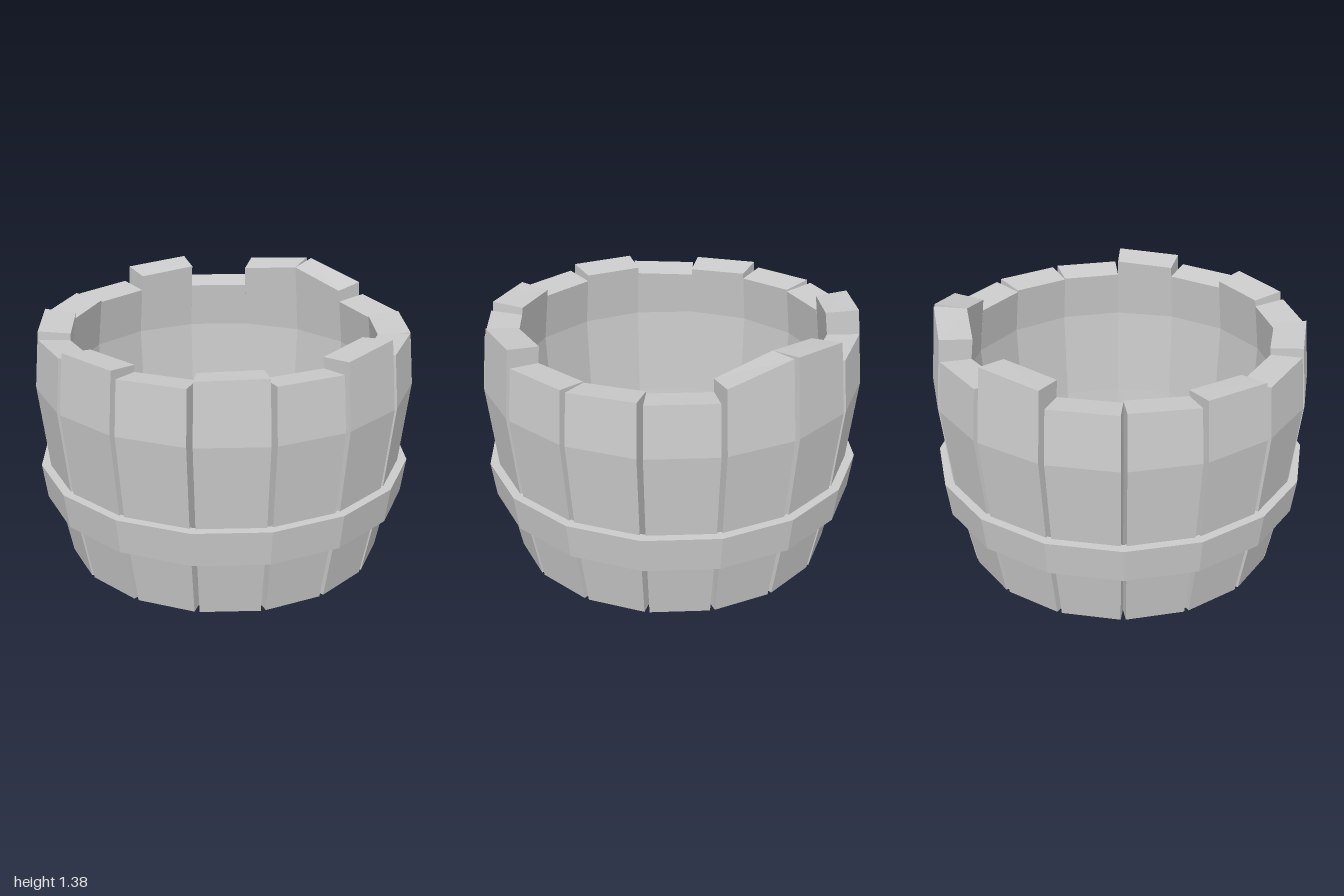
import * as THREE from 'three';

const material = new THREE.MeshStandardMaterial({ color: 0xcccccc, flatShading: true });
const SIDES = 16;
const STEP = (Math.PI * 2) / SIDES;
const GAP = 0.015; // angle trimmed from each outer stave edge

// Stave section levels: height, outer radius, inner radius
const LEVELS = [
  [0, 0.855, 0.775],
  [0.47, 0.945, 0.815],
  [0.97, 1.0, 0.84],
];

// Broken top height at the two edges of each stave, going from +x towards +z
const TOPS = [
  [1.33, 1.31], [1.255, 1.255], [1.295, 1.285], [1.25, 1.25],
  [1.285, 1.285], [1.25, 1.235], [1.27, 1.28], [1.25, 1.26],
  [1.25, 1.25], [1.335, 1.36], [1.24, 1.24], [1.345, 1.38],
  [1.38, 1.3], [1.235, 1.235], [1.245, 1.24], [1.245, 1.245],
];

const polar = (r, a, y) => [r * Math.cos(a), y, r * Math.sin(a)];

// Four corners of a stave section; it narrows outwards to leave a wedge gap
function section(k, yA, yB, outerA, outerB, innerA, innerB, drop = 0) {
  const a = k * STEP;
  const b = a + STEP;
  return [
    polar(outerA, a + GAP, yA),
    polar(outerB, b - GAP, yB),
    polar(innerB, b, yB - drop),
    polar(innerA, a, yA - drop),
  ];
}

function staveGeometry(k) {
  const rings = LEVELS.map(([y, o, i]) => section(k, y, y, o, o, i, i));
  const [yA, yB] = TOPS[k];
  const outer = (y) => 1.0 - 0.09 * (y - 0.97);
  const inner = (y) => 0.84 - 0.11 * (y - 0.97);
  rings.push(section(k, yA, yB, outer(yA), outer(yB), inner(yA), inner(yB), 0.02));

  const positions = [];
  const tri = (...corners) => corners.forEach((c) => positions.push(...c));
  for (let r = 0; r < rings.length - 1; r++) {
    const low = rings[r];
    const high = rings[r + 1];
    for (let i = 0; i < 4; i++) {
      const j = (i + 1) % 4;
      tri(low[i], high[i], high[j]);
      tri(low[i], high[j], low[j]);
    }
  }
  const base = rings[0];
  const top = rings[rings.length - 1];
  tri(base[0], base[1], base[2]);
  tri(base[0], base[2], base[3]);
  tri(top[0], top[2], top[1]);
  tri(top[0], top[3], top[2]);

  const geometry = new THREE.BufferGeometry();
  geometry.setAttribute('position', new THREE.Float32BufferAttribute(positions, 3));
  geometry.computeVertexNormals();
  return geometry;
}

export function createModel() {
  const model = new THREE.Group();
  model.name = 'brokenBarrel';

  // Ring of staves
  const staves = new THREE.Group();
  staves.name = 'staves';
  for (let k = 0; k < SIDES; k++) {
    const stave = new THREE.Mesh(staveGeometry(k), material);
    stave.name = `stave${k + 1}`;
    staves.add(stave);
  }
  model.add(staves);

  // Flared hoop around the lower half
  const profile = [
    [0.915, 0.335], [0.975, 0.335], [1.0, 0.525], [0.94, 0.525], [0.915, 0.335],
  ].map(([x, y]) => new THREE.Vector2(x, y));
  const hoop = new THREE.Mesh(new THREE.LatheGeometry(profile, SIDES), material);
  hoop.name = 'hoop';
  model.add(hoop);

  // Recessed floor
  const floor = new THREE.Mesh(new THREE.CylinderGeometry(0.783, 0.781, 0.04, SIDES), material);
  floor.name = 'floor';
  floor.position.y = 0.08;
  model.add(floor);

  return model;
}
